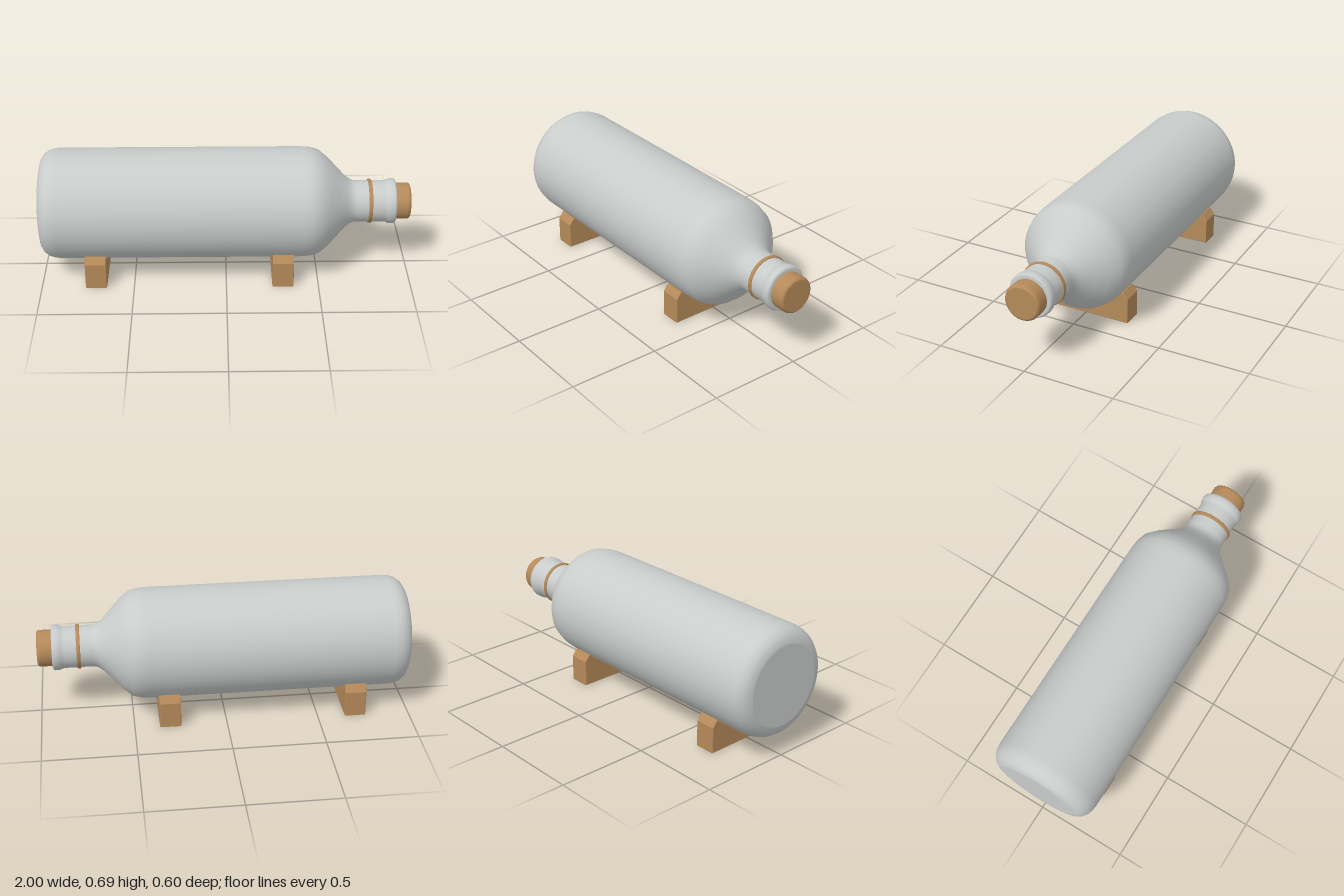
import * as THREE from 'three';
import { mergeGeometries } from 'three/addons/utils/BufferGeometryUtils.js';

const AXIS_Y = 0.39;

function material(name, color) {
  const m = new THREE.MeshStandardMaterial({ color });
  m.name = name;
  return m;
}

// Revolves [x, radius] sections about the bottle axis; edges stay sharp between sections
function turned(name, mat, sections) {
  const parts = sections.map((section) => {
    const points = section.map(([x, r]) => new THREE.Vector2(r, x));
    const part = new THREE.LatheGeometry(points, 80);
    part.normalizeNormals();
    return part;
  });
  const geometry = mergeGeometries(parts);
  geometry.rotateZ(-Math.PI / 2);
  geometry.translate(0, AXIS_Y, 0);
  const mesh = new THREE.Mesh(geometry, mat);
  mesh.name = name;
  return mesh;
}

// Block with chamfered shoulders and a round cradle cut out of its top
function cradleGeometry(width) {
  const r = 0.301, top = 0.18, bevel = 0.004;
  const a = Math.asin((AXIS_Y - top) / r);
  const shape = new THREE.Shape();
  shape.moveTo(-0.25, 0);
  shape.lineTo(0.25, 0);
  shape.lineTo(0.25, 0.144);
  shape.lineTo(0.222, top);
  shape.lineTo(r * Math.cos(a), top);
  shape.absarc(0, AXIS_Y, r, -a, a - Math.PI, true);
  shape.lineTo(-0.222, top);
  shape.lineTo(-0.25, 0.144);
  shape.closePath();
  const geometry = new THREE.ExtrudeGeometry(shape, {
    depth: width - 2 * bevel, curveSegments: 40,
    bevelThickness: bevel, bevelSize: bevel, bevelOffset: -bevel, bevelSegments: 2,
  });
  geometry.translate(0, 0, bevel - width / 2);
  geometry.rotateY(Math.PI / 2);
  return geometry;
}

export function createModel() {
  const group = new THREE.Group();
  group.name = 'bottleOnStand';
  const glaze = material('pale grey', 0xc8cccb);
  const wood = material('wood', 0xb58a5a);

  // Bottle: flat base, rounded body, sloping shoulder, neck and lip
  group.add(turned('bottle', glaze, [
    [[-1, 0], [-1, 0.22]],
    [[-1, 0.22], [-0.995, 0.245], [-0.98, 0.27], [-0.955, 0.288], [-0.93, 0.296], [-0.9, 0.3],
      [0.41, 0.3], [0.455, 0.296], [0.5, 0.284], [0.55, 0.243], [0.6, 0.19], [0.645, 0.142],
      [0.67, 0.124], [0.69, 0.114], [0.71, 0.113], [0.855, 0.113], [0.868, 0.115],
      [0.88, 0.121], [0.892, 0.1225], [0.908, 0.1225], [0.917, 0.119], [0.921, 0.111],
      [0.921, 0.09]],
  ]));

  // Band around the neck
  group.add(turned('neckBand', wood, [
    [[0.77, 0.11], [0.77, 0.117]],
    [[0.77, 0.117], [0.773, 0.12], [0.787, 0.12], [0.79, 0.117]],
    [[0.79, 0.117], [0.79, 0.11]],
  ]));

  // Cork
  group.add(turned('cork', wood, [
    [[0.9, 0.096], [0.93, 0.098], [0.975, 0.099], [0.988, 0.098], [0.996, 0.094], [1, 0.086]],
    [[1, 0.086], [1, 0]],
  ]));

  // Two stand blocks
  const block = cradleGeometry(0.115);
  for (const [name, x] of [['rightCradle', -0.705], ['leftCradle', 0.307]]) {
    const mesh = new THREE.Mesh(block, wood);
    mesh.name = name;
    mesh.position.x = x;
    group.add(mesh);
  }
  return group;
}
